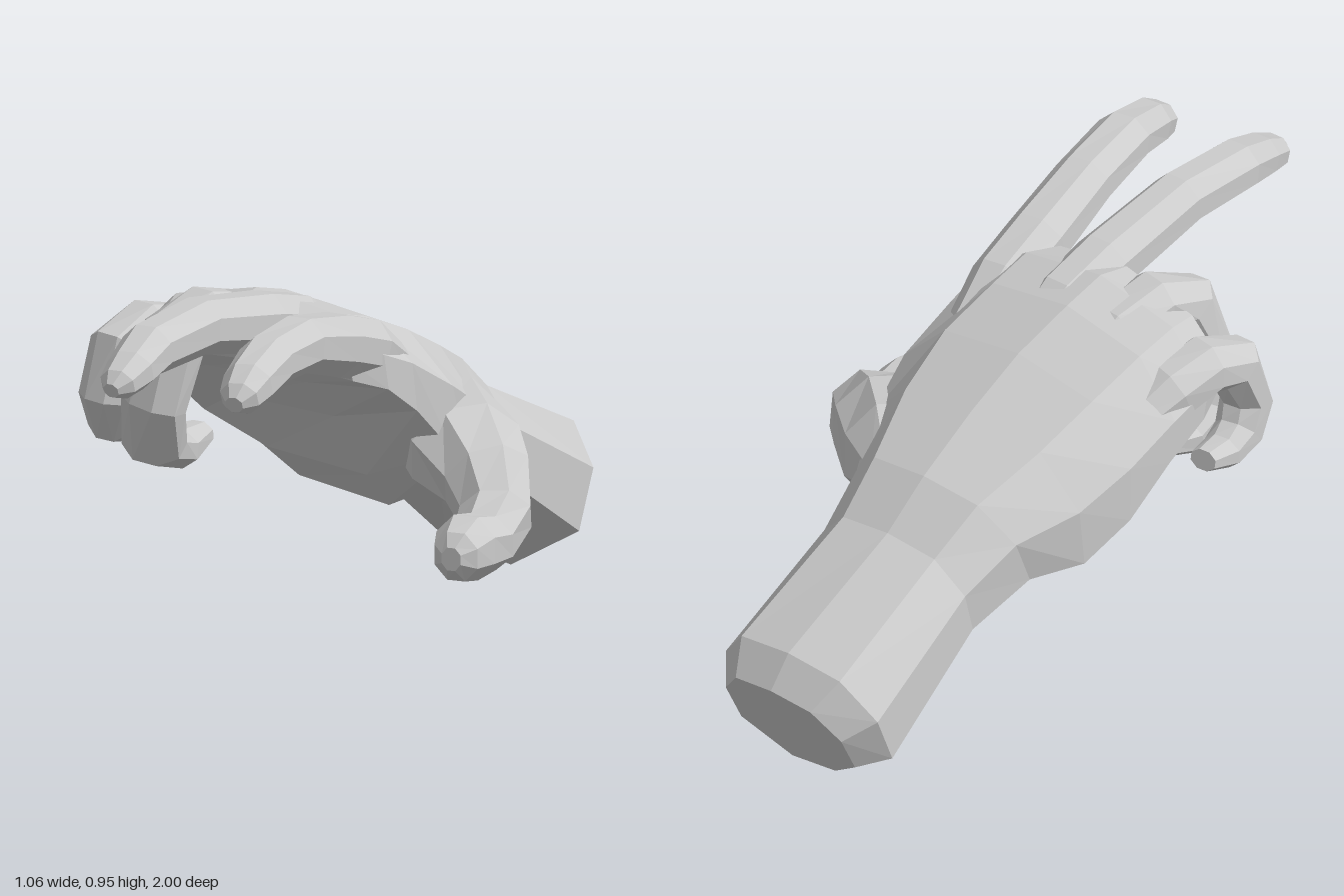
import * as THREE from 'three';

const material = new THREE.MeshStandardMaterial({ color: 0xcccccc, flatShading: true });

// Skin a list of equal-sized rings (counter-clockwise seen from the far end) and cap both ends
function loft(name, rings) {
  const n = rings[0].length, pos = [], index = [];
  rings.forEach(r => r.forEach(p => pos.push(p.x, p.y, p.z)));
  for (let k = 0; k < rings.length - 1; k++) {
    for (let i = 0; i < n; i++) {
      const j = (i + 1) % n, a = k * n, b = a + n;
      index.push(a + i, a + j, b + j, a + i, b + j, b + i);
    }
  }
  [0, rings.length - 1].forEach((k, end) => {
    const c = rings[k].reduce((s, p) => s.add(p), new THREE.Vector3()).divideScalar(n);
    const ci = pos.push(c.x, c.y, c.z) / 3 - 1;
    for (let i = 0; i < n; i++) {
      const a = k * n + i, b = k * n + (i + 1) % n;
      index.push(ci, end ? a : b, end ? b : a);
    }
  });
  const indexed = new THREE.BufferGeometry();
  indexed.setAttribute('position', new THREE.Float32BufferAttribute(pos, 3));
  indexed.setIndex(index);
  const geometry = indexed.toNonIndexed();
  geometry.computeVertexNormals();
  const mesh = new THREE.Mesh(geometry, material);
  mesh.name = name;
  return mesh;
}

// Finger: joints are [x, y, z, half width, half thickness]
function finger(name, joints, sideRef = new THREE.Vector3(1, 0, 0)) {
  const pts = joints.map(j => new THREE.Vector3(j[0], j[1], j[2]));
  const rings = joints.map((j, k) => {
    const before = pts[Math.max(k - 1, 0)], after = pts[Math.min(k + 1, pts.length - 1)];
    const t = after.clone().sub(before).normalize();
    const side = sideRef.clone().addScaledVector(t, -sideRef.dot(t)).normalize();
    const up = t.clone().cross(side);
    return Array.from({ length: 8 }, (_, i) => {
      const a = (i + 0.5) * Math.PI / 4;
      return pts[k].clone()
        .addScaledVector(side, Math.cos(a) * j[3] * 1.08)
        .addScaledVector(up, Math.sin(a) * j[4] * 1.08);
    });
  });
  return loft(name, rings);
}

// Forearm and palm: cross-section outline in unit coordinates
const outline = [
  [1, -0.45], [1, 0.35], [0.65, 0.88], [0, 1], [-0.65, 0.9],
  [-1, 0.35], [-1, -0.35], [-0.5, -0.82], [0.3, -1],
];

// Sections: left x, right x, top y, top z, bottom y, bottom z, drop on the little-finger side
const sections = [
  [-0.34, 0.03, 0.28, -1.0, 0.01, -0.86, 0],
  [-0.40, 0.085, 0.36, -0.94, 0.0, -0.79, 0],
  [-0.37, 0.08, 0.52, -0.57, 0.22, -0.49, 0],
  [-0.40, 0.11, 0.62, -0.44, 0.28, -0.30, 0],
  [-0.46, 0.20, 0.71, -0.25, 0.28, -0.20, 0.02],
  [-0.49, 0.235, 0.79, -0.08, 0.38, -0.09, 0.04],
  [-0.50, 0.22, 0.855, 0.08, 0.55, 0.03, 0.07],
  [-0.50, 0.22, 0.885, 0.20, 0.66, 0.15, 0.09],
  [-0.46, 0.19, 0.86, 0.30, 0.73, 0.26, 0.10],
];

function palmAndForearm() {
  return loft('palmAndForearm', sections.map(([xl, xr, ty, tz, by, bz, drop]) =>
    outline.map(([u, v]) => {
      const s = (v + 1) / 2;
      const sag = u < 0 ? drop * u * u : drop * 0.5 * u * u;
      return new THREE.Vector3(
        (xl + xr) / 2 + u * (xr - xl) / 2,
        by + (ty - by) * s - sag,
        bz + (tz - bz) * s);
    })));
}

export function createModel() {
  const hand = new THREE.Group();
  hand.name = 'hand';
  hand.add(palmAndForearm());

  // Extended fingers, rooted inside the palm
  hand.add(finger('indexFinger', [
    [0.12, 0.70, 0.02, 0.06, 0.05],
    [0.14, 0.765, 0.16, 0.075, 0.075],
    [0.16, 0.81, 0.31, 0.075, 0.075],
    [0.20, 0.86, 0.52, 0.07, 0.066],
    [0.25, 0.868, 0.72, 0.068, 0.06],
    [0.28, 0.84, 0.84, 0.06, 0.056],
    [0.292, 0.82, 0.895, 0.048, 0.042],
    [0.297, 0.81, 0.925, 0.022, 0.02],
  ]));
  hand.add(finger('middleFinger', [
    [-0.06, 0.72, 0.0, 0.06, 0.05],
    [-0.06, 0.795, 0.16, 0.075, 0.075],
    [-0.055, 0.835, 0.31, 0.075, 0.072],
    [-0.05, 0.882, 0.58, 0.068, 0.066],
    [-0.04, 0.872, 0.80, 0.066, 0.06],
    [-0.02, 0.845, 0.90, 0.058, 0.05],
    [-0.013, 0.825, 0.965, 0.045, 0.038],
    [-0.012, 0.815, 0.995, 0.02, 0.018],
  ]));

  // Curled fingers
  hand.add(finger('ringFinger', [
    [-0.22, 0.72, 0.04, 0.06, 0.05],
    [-0.225, 0.785, 0.16, 0.075, 0.07],
    [-0.24, 0.815, 0.28, 0.08, 0.068],
    [-0.262, 0.785, 0.365, 0.078, 0.072],
    [-0.29, 0.62, 0.415, 0.08, 0.056],
    [-0.318, 0.51, 0.37, 0.078, 0.058],
    [-0.325, 0.48, 0.28, 0.07, 0.048],
    [-0.325, 0.495, 0.17, 0.04, 0.028],
  ]));
  hand.add(finger('littleFinger', [
    [-0.39, 0.65, 0.0, 0.06, 0.05],
    [-0.425, 0.715, 0.13, 0.075, 0.072],
    [-0.445, 0.745, 0.23, 0.075, 0.065],
    [-0.455, 0.715, 0.32, 0.072, 0.065],
    [-0.465, 0.60, 0.36, 0.066, 0.052],
    [-0.475, 0.53, 0.32, 0.058, 0.05],
    [-0.485, 0.51, 0.25, 0.05, 0.04],
    [-0.495, 0.525, 0.17, 0.035, 0.025],
  ]));

  // Thumb, swelling out of the heel of the palm
  hand.add(finger('thumb', [
    [0.02, 0.50, -0.36, 0.06, 0.06],
    [0.12, 0.475, -0.24, 0.125, 0.135],
    [0.24, 0.465, -0.13, 0.135, 0.12],
    [0.34, 0.425, -0.075, 0.105, 0.10],
    [0.41, 0.355, -0.01, 0.085, 0.085],
    [0.445, 0.32, 0.09, 0.075, 0.07],
    [0.455, 0.325, 0.18, 0.077, 0.078],
    [0.475, 0.32, 0.25, 0.055, 0.06],
    [0.48, 0.32, 0.278, 0.025, 0.028],
  ], new THREE.Vector3(1, 0, -0.6)));

  return hand;
}
